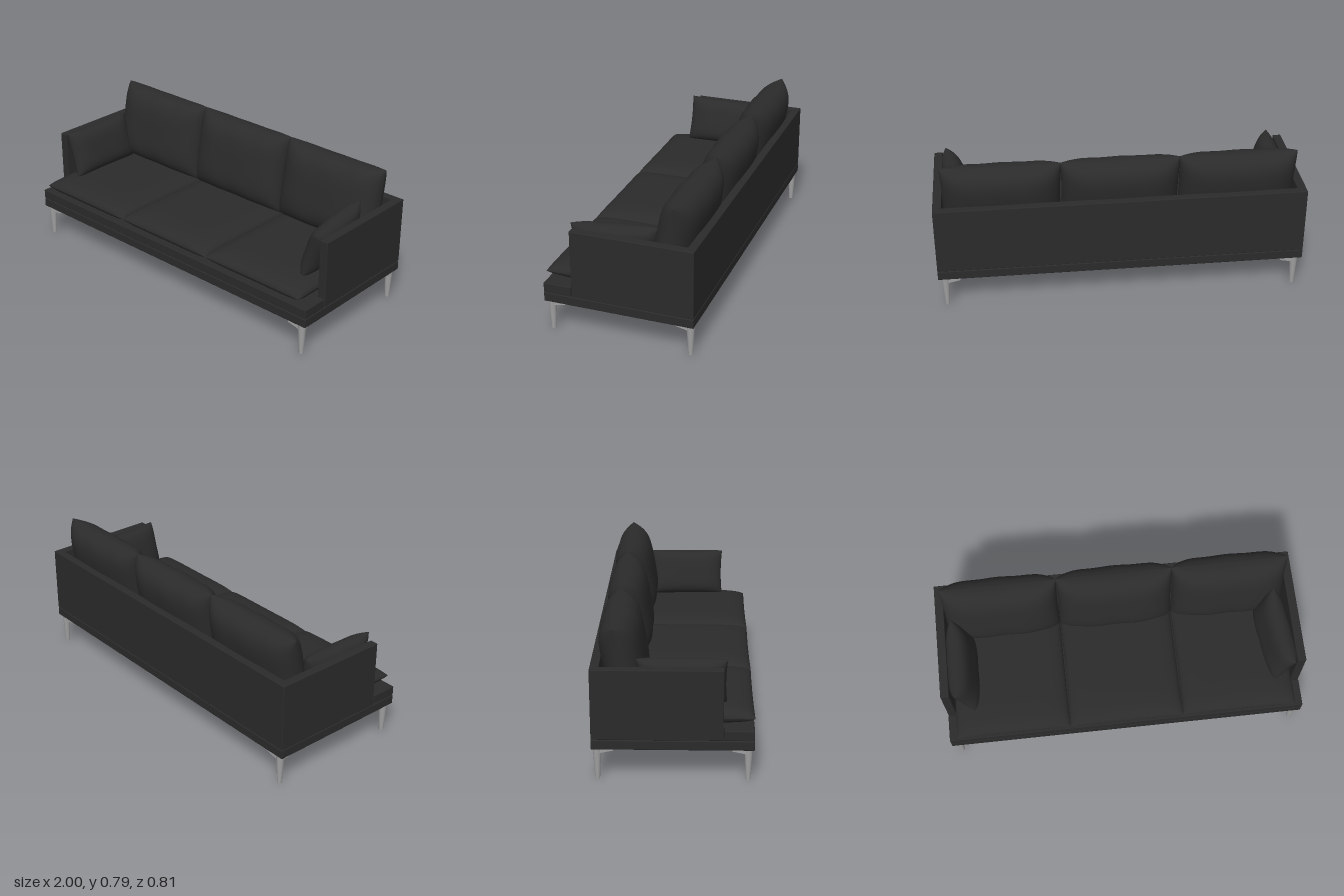
import * as THREE from 'three';
import { mergeGeometries } from 'three/addons/utils/BufferGeometryUtils.js';
import { RoundedBoxGeometry } from 'three/addons/geometries/RoundedBoxGeometry.js';

const fabric = new THREE.MeshStandardMaterial({ color: 0x2b2b2b });
fabric.name = 'charcoal fabric';
const metal = new THREE.MeshStandardMaterial({ color: 0xa0a0a0 });
metal.name = 'brushed metal';

function mesh(name, geometry, material, parent) {
  const m = new THREE.Mesh(geometry, material);
  m.name = name;
  parent.add(m);
  return m;
}

// Softly rounded box given by its minimum and maximum corners
function block(name, [x0, y0, z0], [x1, y1, z1], parent) {
  const g = new RoundedBoxGeometry(x1 - x0, y1 - y0, z1 - z0, 2, 0.004);
  g.translate((x0 + x1) / 2, (y0 + y1) / 2, (z0 + z1) / 2);
  return mesh(name, g, fabric, parent);
}

// Stuffed cushion: two bulging faces meeting at a seam; 'full' flattens the middle,
// 'pinch' draws the edges in between the pointed corners, 'wave' adds soft folds
function cushion(w, h, t, full, pinch, wave = 0) {
  const halves = [1, -1].map((side) => {
    const g = new THREE.PlaneGeometry(2, 2, 28, 28);
    const p = g.attributes.position;
    for (let i = 0; i < p.count; i++) {
      const u = Math.sin(p.getX(i) * Math.PI / 2);
      const v = Math.sin(p.getY(i) * Math.PI / 2);
      const bulge = Math.sqrt(Math.max(0, (1 - Math.abs(u) ** full) * (1 - Math.abs(v) ** full)));
      const fold = 1 + wave * Math.sin(u * 9 + v * 2) * v * v;
      p.setXYZ(i,
        side * u * (w / 2) * (1 - pinch * (1 - v * v)),
        v * (h / 2) * (1 - pinch * (1 - u * u)),
        side * (t / 2) * bulge * fold);
    }
    g.computeVertexNormals();
    return g;
  });
  return mergeGeometries(halves);
}

// Tapered leg with two bracket arms pointing inwards from the corner
function makeLeg() {
  const leg = new THREE.Group();
  leg.name = 'leg';
  const post = new THREE.CylinderGeometry(0.022, 0.012, 0.174, 16);
  post.translate(0, 0.087, 0);
  mesh('legPost', post, metal, leg);
  const profile = new THREE.Shape([
    new THREE.Vector2(0, 0.175), new THREE.Vector2(0, 0.138),
    new THREE.Vector2(0.022, 0.146), new THREE.Vector2(0.08, 0.158),
    new THREE.Vector2(0.08, 0.175),
  ]);
  for (const angle of [Math.PI / 2, Math.PI]) {
    const g = new THREE.ExtrudeGeometry(profile, { depth: 0.03, bevelEnabled: false });
    g.translate(0, 0, -0.015);
    mesh('legBracket', g, metal, leg).rotation.y = angle;
  }
  return leg;
}

export function createModel() {
  const sofa = new THREE.Group();
  sofa.name = 'sofa';

  // Base, seat deck and front rail
  block('base', [-1, 0.175, -0.405], [1, 0.225, 0.405], sofa);
  block('seatDeck', [-0.952, 0.224, -0.37], [0.952, 0.279, 0.3], sofa);
  block('frontRail', [-1, 0.228, 0.254], [1, 0.28, 0.405], sofa);

  // Back and arm panels
  block('backPanel', [-1, 0.228, -0.405], [1, 0.6, -0.36], sofa);
  block('rightArm', [-1, 0.228, -0.4], [-0.953, 0.6, 0.25], sofa);
  block('leftArm', [0.953, 0.228, -0.4], [1, 0.6, 0.25], sofa);

  // Three seat cushions and three reclined back cushions
  for (let i = -1; i <= 1; i++) {
    const x = i * 0.635;
    const seat = mesh('seatCushion', cushion(0.635, 0.755, 0.1, 6, 0.008), fabric, sofa);
    seat.rotation.x = -Math.PI / 2;
    seat.position.set(x, 0.325, 0.03);

    const back = mesh('backCushion', cushion(0.64, 0.445, 0.215, 4, 0.02, 0.05), fabric, sofa);
    back.rotation.x = -0.17;
    back.position.set(x, 0.575, -0.253);
  }

  // Loose pillows leaning against the arms, the left one turned slightly
  for (const side of [-1, 1]) {
    const pillow = mesh(side < 0 ? 'rightPillow' : 'leftPillow',
      cushion(0.45, 0.27, 0.125, 4, 0.035, 0.03), fabric, sofa);
    pillow.rotation.set(0, Math.PI / 2 + (side > 0 ? 0.13 : 0), -side * 0.3, 'ZYX');
    pillow.position.set(side * (side > 0 ? 0.868 : 0.877), 0.497, 0.045);
  }

  // Four corner legs
  const corners = [[1, 1, 0], [1, -1, 1], [-1, -1, 2], [-1, 1, 3]];
  for (const [sx, sz, turn] of corners) {
    const leg = makeLeg();
    leg.rotation.y = turn * Math.PI / 2;
    leg.position.set(sx * 0.96, 0, sz * 0.377);
    sofa.add(leg);
  }
  return sofa;
}
